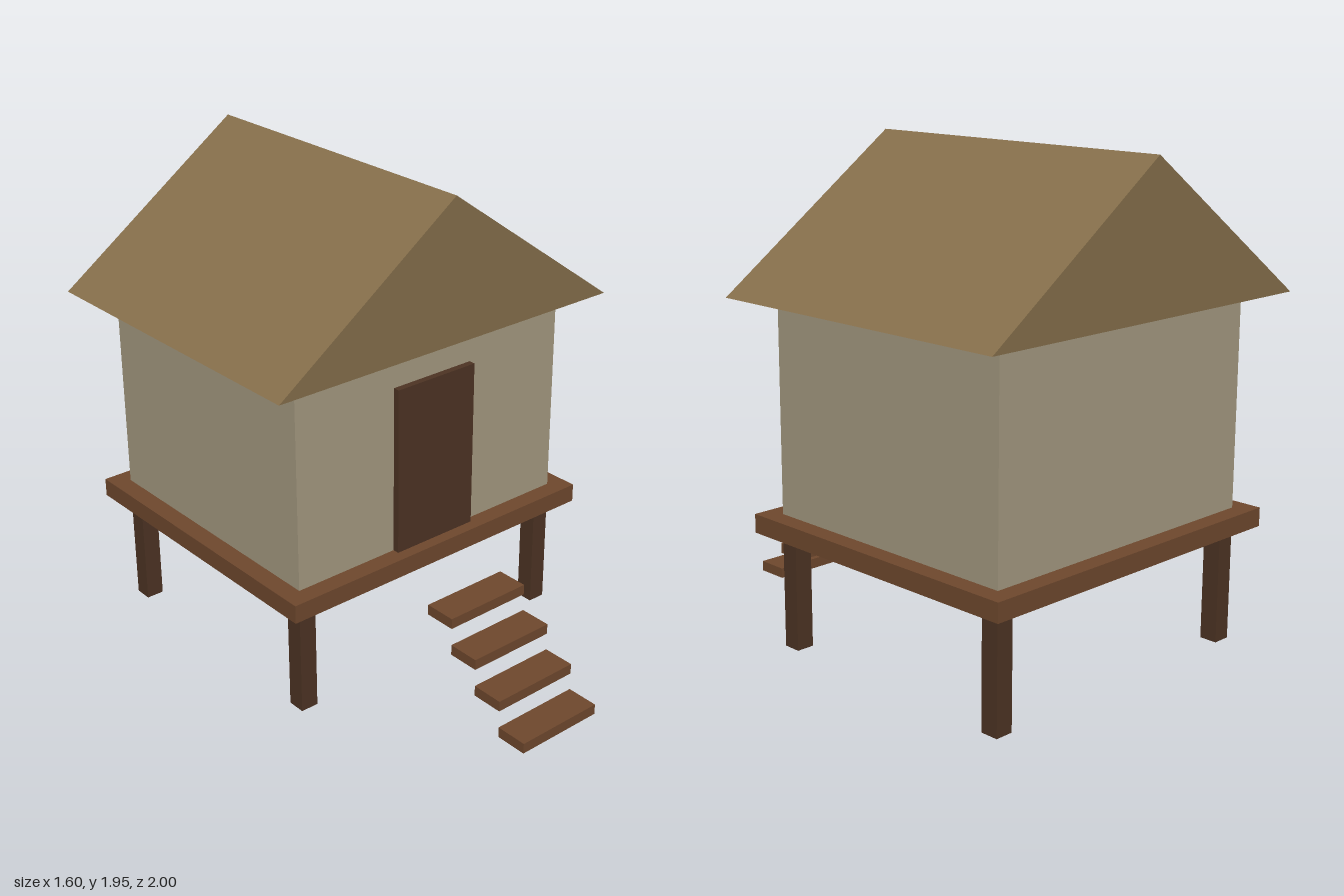
import * as THREE from 'three';

const material = (name, color) => {
  const m = new THREE.MeshStandardMaterial({ color });
  m.name = name;
  return m;
};

export function createModel() {
  const hut = new THREE.Group();
  hut.name = 'stiltHut';

  const thatch = material('thatch', 0x866f4b);
  const plaster = material('plaster', 0xa69b82);
  const plank = material('plank', 0x70492e);
  const darkWood = material('darkWood', 0x4e3424);

  // Box given by its extents along each axis
  const box = (name, mat, [x0, x1], [y0, y1], [z0, z1]) => {
    const mesh = new THREE.Mesh(new THREE.BoxGeometry(x1 - x0, y1 - y0, z1 - z0), mat);
    mesh.position.set((x0 + x1) / 2, (y0 + y1) / 2, (z0 + z1) / 2);
    mesh.name = name;
    hut.add(mesh);
  };

  const midZ = -0.311; // centre of the house, behind the stairs

  // Four stilts
  for (const sx of [-1, 1]) {
    for (const sz of [-1, 1]) {
      const x = sx * 0.613, z = midZ + sz * 0.537;
      box('stilt', darkWood, [x - 0.037, x + 0.037], [0, 0.465], [z - 0.037, z + 0.037]);
    }
  }

  // Platform, walls and door
  box('platform', plank, [-0.725, 0.725], [0.463, 0.538], [midZ - 0.649, midZ + 0.649]);
  box('walls', plaster, [-0.649, 0.649], [0.538, 1.383], [midZ - 0.574, midZ + 0.574]);
  box('door', darkWood, [-0.19, 0.19], [0.538, 1.225], [0.255, 0.29]);

  // Floating steps
  for (let i = 0; i < 4; i++) {
    const y = i * 0.115, z = 1 - i * 0.1335;
    box('step', plank, [-0.19, 0.19], [y, y + 0.043], [z - 0.1335, z]);
  }

  // Gabled thatch roof, a solid triangular prism
  const gable = new THREE.Shape([
    new THREE.Vector2(-0.8, 1.383),
    new THREE.Vector2(0.8, 1.383),
    new THREE.Vector2(0, 1.953),
  ]);
  const roof = new THREE.Mesh(
    new THREE.ExtrudeGeometry(gable, { depth: 1.378, bevelEnabled: false }), thatch);
  roof.position.z = -1;
  roof.name = 'roof';
  hut.add(roof);

  return hut;
}
